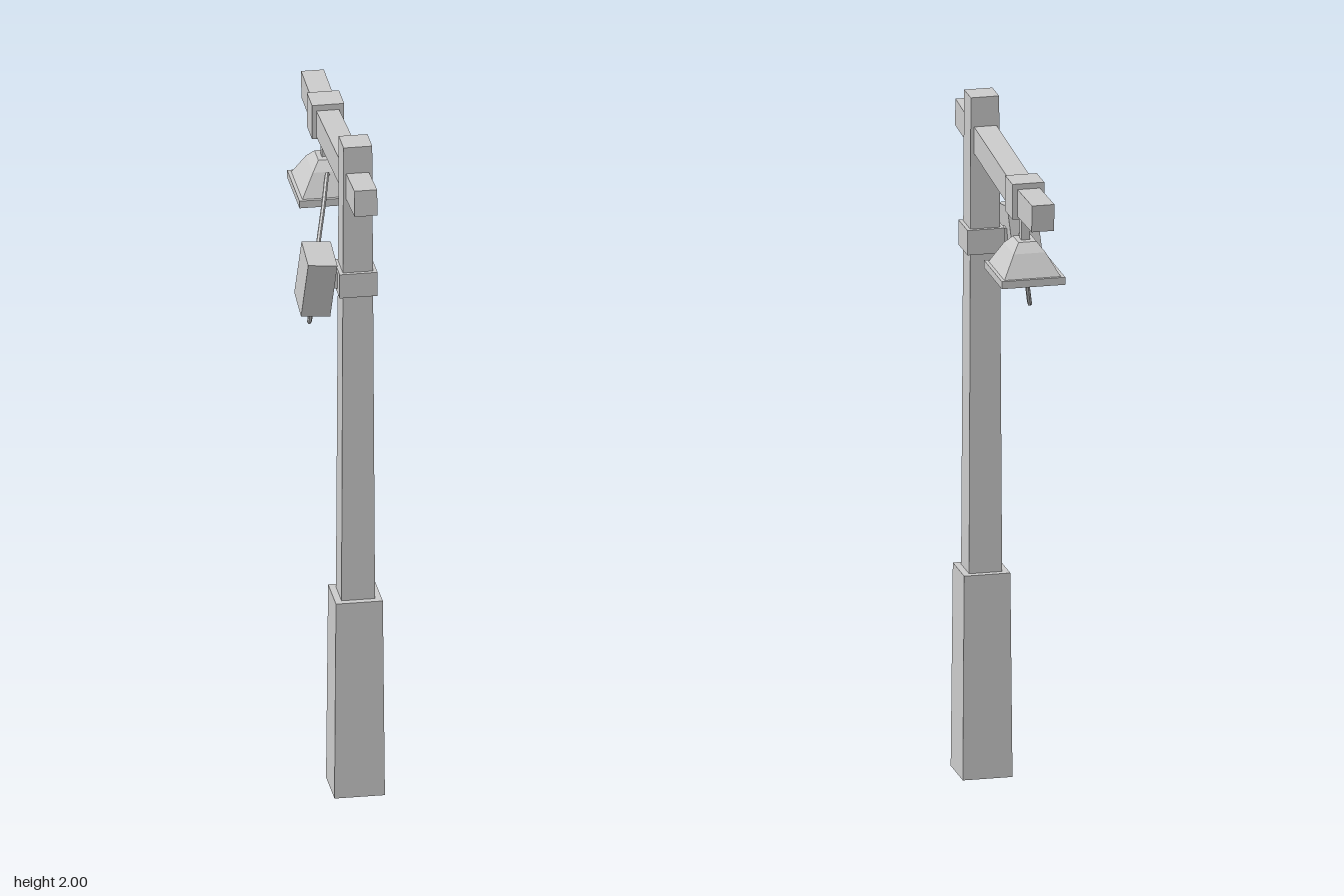
import * as THREE from 'three';

const grey = new THREE.MeshStandardMaterial({ color: 0xcccccc, flatShading: true, side: THREE.DoubleSide });
const POST_X = 0.034, POST_Z = 0.275, LAMP_Z = -0.242;

export function createModel() {
  const model = new THREE.Group();

  const add = (name, geometry, x = 0, y = 0, z = 0) => {
    const mesh = new THREE.Mesh(geometry, grey);
    mesh.name = name;
    mesh.position.set(x, y, z);
    model.add(mesh);
    return mesh;
  };
  const box = (name, w, h, d, x, y, z) => add(name, new THREE.BoxGeometry(w, h, d), x, y, z);

  // Four-sided tapered block from [y, halfX, halfZ] sections, closed on top if asked
  const taper = (name, sections, x, z, capped = true) => {
    const pos = [], index = [];
    const corners = [[-1, 1], [1, 1], [1, -1], [-1, -1]];
    sections.forEach(([y, hx, hz]) => corners.forEach(([sx, sz]) => pos.push(sx * hx, y, sz * hz)));
    for (let s = 0; s < sections.length - 1; s++) {
      for (let i = 0; i < 4; i++) {
        const a = s * 4 + i, b = s * 4 + (i + 1) % 4;
        index.push(a, b, b + 4, a, b + 4, a + 4);
      }
    }
    const t = (sections.length - 1) * 4;
    if (capped) index.push(t, t + 1, t + 2, t, t + 2, t + 3);
    const g = new THREE.BufferGeometry();
    g.setAttribute('position', new THREE.Float32BufferAttribute(pos, 3));
    g.setIndex(index);
    const flat = g.toNonIndexed();
    flat.computeVertexNormals();
    return add(name, flat, x, 0, z);
  };

  // Post, its thicker foot (open below) and the strap
  taper('postFoot', [[0, 0.072, 0.073], [0.6, 0.067, 0.068]], POST_X, POST_Z);
  taper('post', [[0.58, 0.048, 0.048], [2, 0.041, 0.041]], POST_X, POST_Z);
  box('postStrap', 0.108, 0.073, 0.108, POST_X, 1.577, POST_Z);

  // Slightly bent cross beam, drawn in the z-y plane and turned to run along z
  const profile = [[0.459, 1.93], [-0.2, 1.882], [-0.461, 1.887], [-0.456, 1.808], [-0.2, 1.802], [0.463, 1.852]];
  const beamShape = new THREE.Shape(profile.map(([z, y]) => new THREE.Vector2(-z, y)));
  const beam = new THREE.ExtrudeGeometry(beamShape, { depth: 0.065, bevelEnabled: false });
  beam.translate(0, 0, -0.0325).rotateY(Math.PI / 2);
  add('beam', beam, 0.033);

  // Lamp hanger
  box('beamStrap', 0.092, 0.104, 0.09, POST_X, 1.848, LAMP_Z);
  box('lampStem', 0.025, 0.1, 0.025, POST_X, 1.76, LAMP_Z);

  // Lamp shade, rim and recessed pane
  taper('lampShade', [[1.632, 0.083, 0.097], [1.698, 0.046, 0.06], [1.724, 0.026, 0.034]], POST_X, LAMP_Z);
  const rect = (Type, hx, hz) => new Type([[-hx, -hz], [hx, -hz], [hx, hz], [-hx, hz]].map(p => new THREE.Vector2(...p)));
  const rimShape = rect(THREE.Shape, 0.092, 0.107);
  rimShape.holes.push(rect(THREE.Path, 0.082, 0.097));
  const rim = new THREE.ExtrudeGeometry(rimShape, { depth: 0.022, bevelEnabled: false });
  rim.rotateX(-Math.PI / 2);
  add('lampRim', rim, POST_X, 1.613, LAMP_Z);
  box('lampPane', 0.166, 0.012, 0.196, POST_X, 1.627, LAMP_Z);

  // Tilted junction box with its bracket
  const junction = box('junctionBox', 0.084, 0.175, 0.118, -0.079, 1.58, 0.274);
  junction.rotation.set(0.19, 0, -0.087);
  box('junctionBracket', 0.045, 0.045, 0.03, -0.03, 1.577, POST_Z);

  // Sagging cable from the box to the lamp
  const path = new THREE.CatmullRomCurve3([
    [-0.086, 1.5, 0.25], [-0.086, 1.435, 0.218], [-0.08, 1.404, 0.17], [-0.055, 1.453, 0.08],
    [-0.027, 1.56, 0], [0, 1.65, -0.07], [0.02, 1.706, -0.137], [0.034, 1.68, -0.2],
  ].map(p => new THREE.Vector3(...p)));
  add('cable', new THREE.TubeGeometry(path, 40, 0.0065, 6));

  return model;
}
